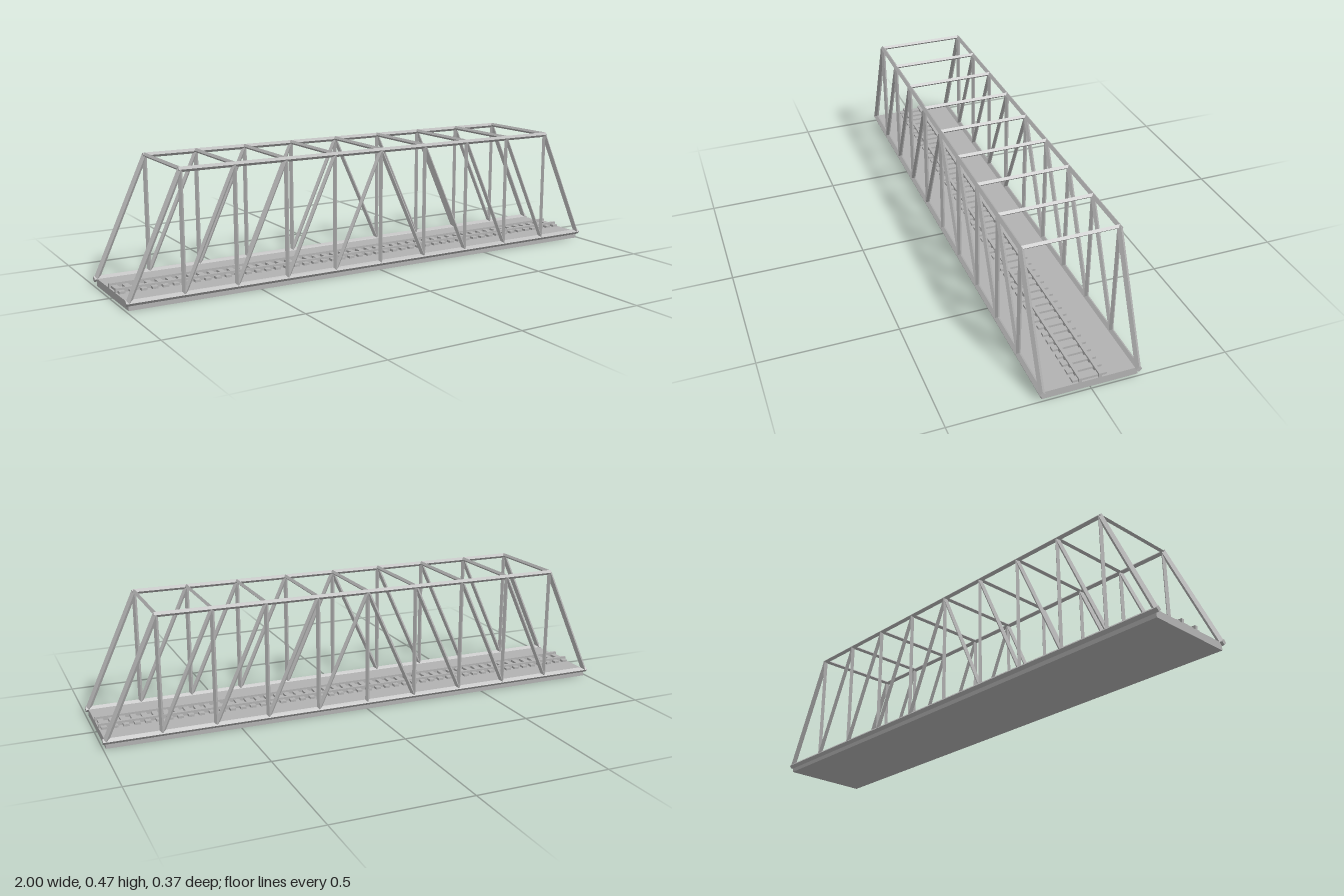
import * as THREE from 'three';

const steel = new THREE.MeshStandardMaterial({ color: 0xb2b2b2, flatShading: true });
steel.name = 'grey steel';

const BAY = 0.198;         // panel length between truss nodes
const SIDE = 0.172;        // z of each truss plane
const LOW = 0.027, HIGH = 0.46;
const UP = new THREE.Vector3(0, 1, 0);

// Square bar set on edge, running from a to b
function bar(name, a, b, r) {
  const from = new THREE.Vector3(...a), to = new THREE.Vector3(...b);
  const dir = to.clone().sub(from);
  const mesh = new THREE.Mesh(new THREE.CylinderGeometry(r, r, dir.length(), 4), steel);
  mesh.name = name;
  mesh.position.copy(from).add(to).multiplyScalar(0.5);
  mesh.quaternion.setFromUnitVectors(UP, dir.normalize());
  return mesh;
}

function box(name, w, h, d, x, y, z) {
  const mesh = new THREE.Mesh(new THREE.BoxGeometry(w, h, d), steel);
  mesh.name = name;
  mesh.position.set(x, y, z);
  return mesh;
}

// One side truss in the plane z
function truss(name, z) {
  const g = new THREE.Group();
  g.name = name;
  g.add(bar('bottomChord', [-1, LOW, z], [1, LOW, z], 0.011));
  g.add(bar('topChord', [-4 * BAY - 0.007, HIGH, z], [4 * BAY + 0.007, HIGH, z], 0.0095));
  for (let i = -4; i <= 4; i++) {
    g.add(bar('verticalPost', [i * BAY, LOW, z], [i * BAY, HIGH, z], 0.0085));
  }
  // Braces lean toward mid-span; the outermost pair are the heavier end posts
  for (const s of [-1, 1]) {
    for (let i = 1; i <= 5; i++) {
      const end = i === 5;
      g.add(bar(end ? 'endPost' : 'diagonalBrace',
        [s * i * BAY, LOW, z], [s * (i - 1) * BAY, HIGH, z], end ? 0.0108 : 0.0085));
    }
  }
  return g;
}

export function createModel() {
  const model = new THREE.Group();
  model.name = 'railwayTrussBridge';

  model.add(box('deck', 1.98, 0.028, 2 * SIDE, 0, 0.014, 0));
  model.add(truss('leftTruss', SIDE), truss('rightTruss', -SIDE));

  // Overhead struts tying the two trusses together
  for (let i = -4; i <= 4; i++) {
    model.add(bar('topStrut', [i * BAY, 0.462, -SIDE], [i * BAY, 0.462, SIDE], 0.008));
  }

  // Track: sleepers and two rails
  const track = new THREE.Group();
  track.name = 'track';
  for (let i = 0; i < 50; i++) {
    track.add(box('sleeper', 0.021, 0.01, 0.123, (i - 24.5) * 0.0397, 0.0315, 0));
  }
  for (const s of [-1, 1]) {
    track.add(box('rail', 1.98, 0.018, 0.011, 0, 0.035, s * 0.0355));
  }
  model.add(track);
  return model;
}
